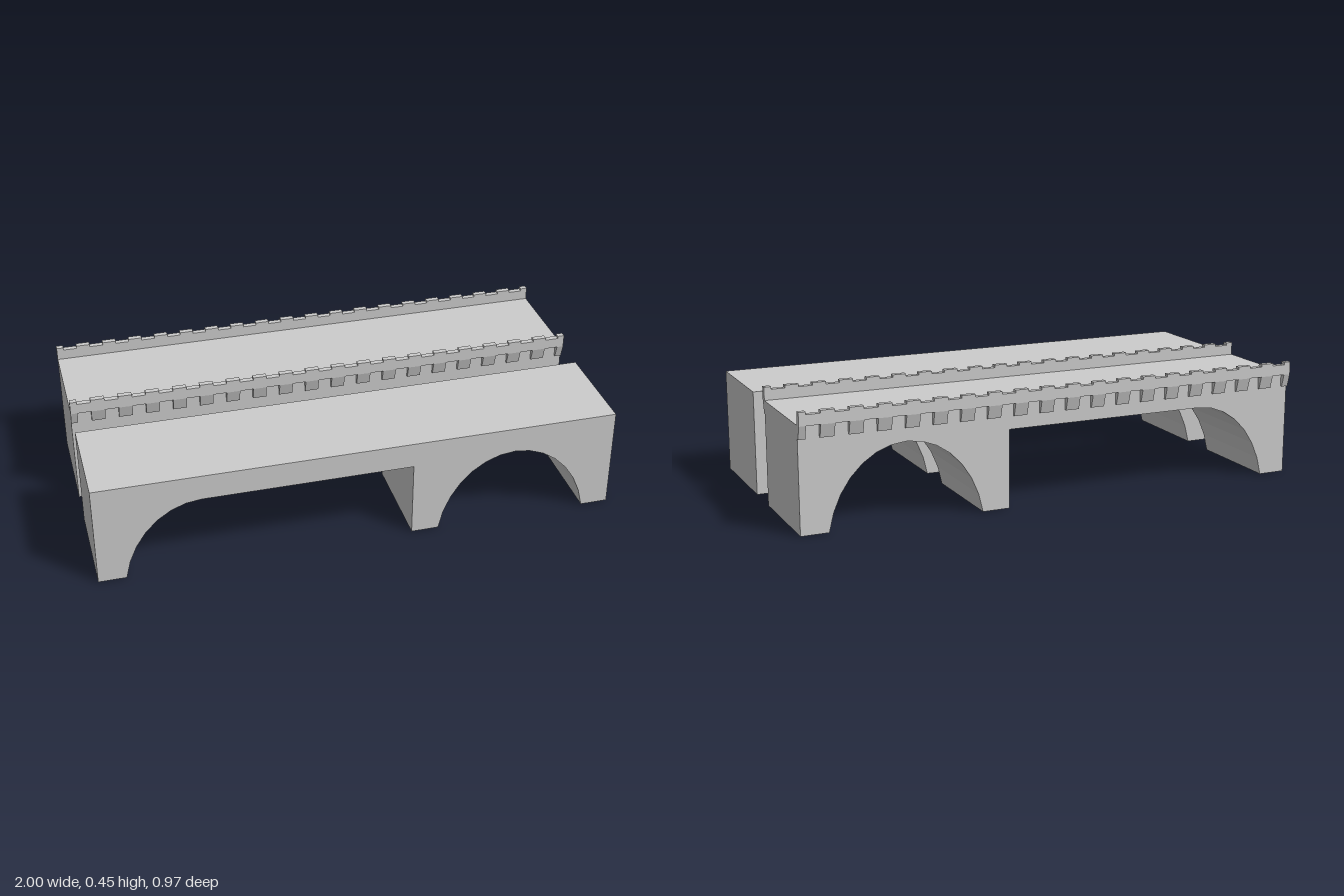
import * as THREE from 'three';

const material = new THREE.MeshStandardMaterial({ color: 0xcccccc, flatShading: true });
const PERIODS = 19, STEP = 2 / PERIODS, HALF = STEP / 4;
const DEPTH = 0.4, WALL = 0.0215;

function part(name, geometry) {
  const mesh = new THREE.Mesh(geometry, material);
  mesh.name = name;
  return mesh;
}

const extrude = (points, depth) => new THREE.ExtrudeGeometry(
  new THREE.Shape(points.map(([x, y]) => new THREE.Vector2(x, y))),
  { depth, bevelEnabled: false });

// Points on an elliptical arch, as fractions of 32 sides
function arch(cx, from, to) {
  const points = [];
  for (let i = from; i <= to; i++) {
    const a = Math.PI - (i * Math.PI) / 16;
    const y = -0.073 + 0.373 * Math.sin(a);
    points.push([cx + 0.3 * Math.cos(a), Math.max(0, y)]);
  }
  return points;
}

// Bridge body: half arch, flat span, pier and full arch
function bridgeBody() {
  return extrude([
    [-1, 0], ...arch(-0.6, 1, 8), [0.2, 0.3], [0.2, 0],
    ...arch(0.6, 1, 15), [1, 0], [1, 0.4], [-1, 0.4],
  ], DEPTH);
}

// Parapet facing +z, with its inner face on z = 0
function createParapet() {
  const group = new THREE.Group();
  group.name = 'parapet';

  // Wall with shallow battlements, half a merlon at each end
  const outline = [[-1, 0.4], [1, 0.4], [1, 0.45]];
  for (let i = PERIODS - 1; i >= 0; i--) {
    const left = -1 + i * STEP + HALF, right = -1 + (i + 1) * STEP - HALF;
    outline.push([right, 0.45], [right, 0.44], [left, 0.44], [left, 0.45]);
  }
  outline.push([-1, 0.45]);
  group.add(part('battlementWall', extrude(outline, WALL)));

  // Sloping corbels under the wall
  for (let i = 0; i <= PERIODS; i++) {
    const x = -1 + i * STEP;
    const left = Math.max(-1, x - HALF), right = Math.min(1, x + HALF);
    const geometry = extrude([[0, 0.35], [-0.008, 0.35], [-WALL, 0.4], [0, 0.4]], right - left);
    geometry.rotateY(Math.PI / 2);
    geometry.translate(left, 0, 0);
    group.add(part('corbel', geometry));
  }
  return group;
}

export function createModel() {
  const model = new THREE.Group();
  model.name = 'bridges';

  // Plain bridge in front
  const plain = part('plainBridge', bridgeBody());
  plain.position.z = 0.087;
  model.add(plain);

  // Bridge with parapets behind
  const walled = new THREE.Group();
  walled.name = 'walledBridge';
  walled.position.z = -0.465;
  const front = createParapet();
  front.position.z = DEPTH;
  const back = createParapet();
  back.rotation.y = Math.PI;
  walled.add(part('bridgeBody', bridgeBody()), front, back);
  model.add(walled);
  return model;
}
